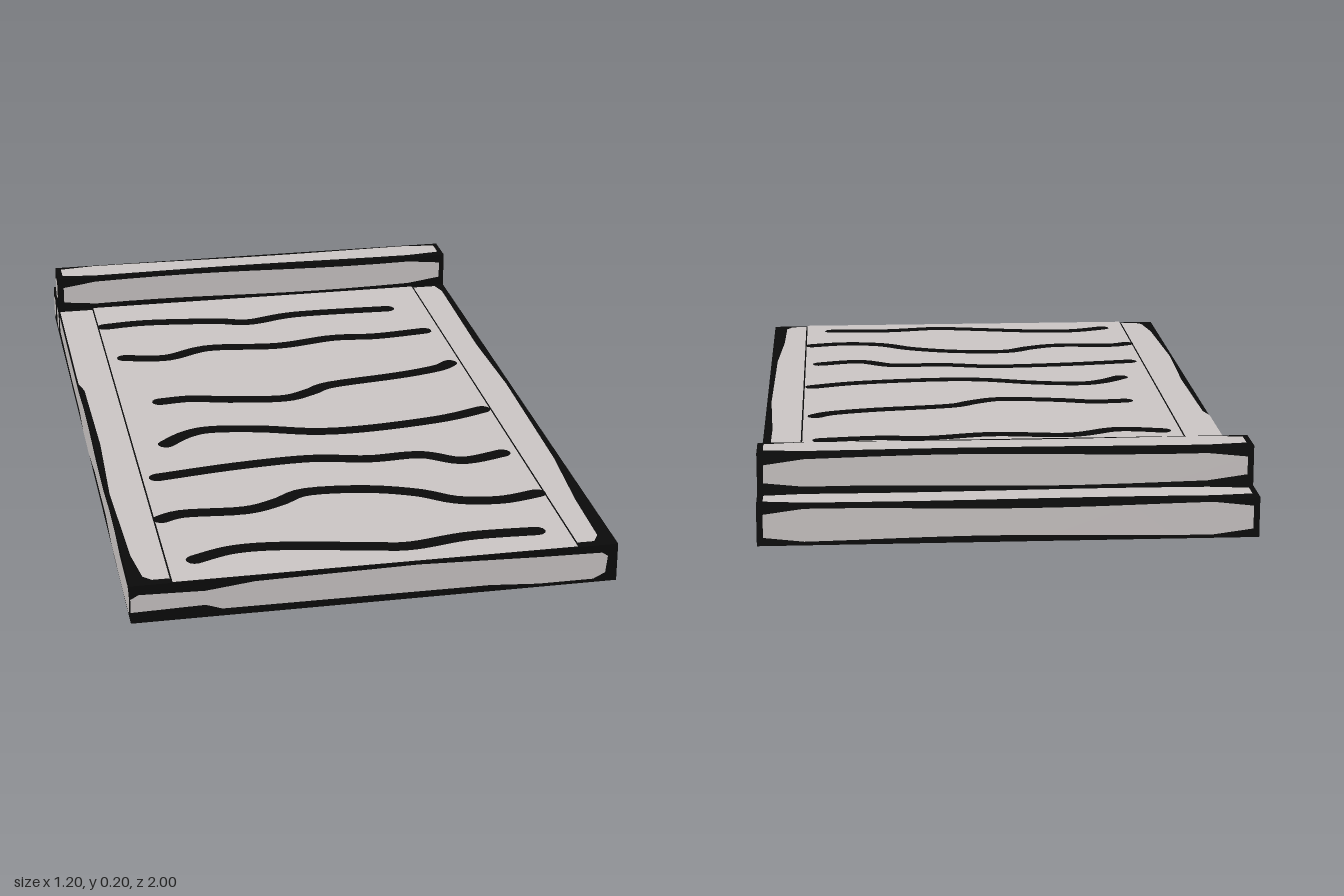
import * as THREE from 'three';

const ink = new THREE.MeshStandardMaterial({ color: 0x0b0b0b });
ink.name = 'ink black';
const paper = new THREE.MeshStandardMaterial({ color: 0xcbc6c5 });
paper.name = 'pale grey';

const LIFT = 0.002; // height of painted plates above the surface

// Each side: rotation axis, angle, sign of the first and second point coordinates
const SIDES = {
  front: ['Y', 0, 1, 1],             // points are x, y
  back: ['Y', Math.PI, -1, 1],       // x, y
  left: ['Y', Math.PI / 2, -1, 1],   // z, y
  right: ['Y', -Math.PI / 2, 1, 1],  // z, y
  top: ['X', -Math.PI / 2, 1, -1],   // x, z
  bottom: ['X', Math.PI / 2, 1, 1],  // x, z
};

// Flat painted plate on one side, at a distance from the origin
function plate(name, side, distance, points, material = paper) {
  const [axis, angle, su, sv] = SIDES[side];
  const shape = new THREE.Shape(points.map(([a, b]) => new THREE.Vector2(a * su, b * sv)));
  const geometry = new THREE.ShapeGeometry(shape);
  geometry.translate(0, 0, distance + LIFT);
  geometry['rotate' + axis](angle);
  const mesh = new THREE.Mesh(geometry, material);
  mesh.name = name;
  return mesh;
}

// Rectangle with clipped corners
function patch(a0, a1, b0, b1, c = 0.012) {
  return [[a0 + c, b0], [a1 - c, b0], [a1, b0 + c], [a1, b1 - c],
    [a1 - c, b1], [a0 + c, b1], [a0, b1 - c], [a0, b0 + c]];
}

// Long patch whose edges wander a little, like hand painting
function wornPatch(a0, a1, b0, b1, seed) {
  const edge = (from, to, b, dir) => Array.from({ length: 13 }, (_, i) => {
    const t = i / 12;
    const wobble = (Math.sin(t * 7 + seed) + 1) * 0.004;
    return [from + (to - from) * t, b + dir * (wobble + (i % 12 === 0 ? 0.012 : 0))];
  });
  return [...edge(a0, a1, b0, 1), ...edge(a1, a0, b1, -1)];
}

function box(name, w, h, d, x, y, z) {
  const mesh = new THREE.Mesh(new THREE.BoxGeometry(w, h, d), ink);
  mesh.position.set(x, y, z);
  mesh.name = name;
  return mesh;
}

// Outline of a round-ended brush stroke along a smooth path
function strokeOutline(points, r = 0.0225) {
  const path = new THREE.SplineCurve(points.map(p => new THREE.Vector2(...p)));
  const n = 40, sideA = [], sideB = [];
  for (let i = 0; i <= n; i++) {
    const p = path.getPoint(i / n), t = path.getTangent(i / n);
    sideA.push([p.x - t.y * r, p.y + t.x * r]);
    sideB.unshift([p.x + t.y * r, p.y - t.x * r]);
  }
  const cap = (u, dir) => {
    const p = path.getPoint(u), t = path.getTangent(u), out = [];
    const start = Math.atan2(t.x * dir, -t.y * dir);
    for (let i = 1; i < 6; i++) {
      const a = start - Math.PI * i / 6;
      out.push([p.x + Math.cos(a) * r, p.y + Math.sin(a) * r]);
    }
    return out;
  };
  return [...sideA, ...cap(1, 1), ...sideB, ...cap(0, -1)];
}

// Square beam across the head end, with painted faces
function beam(name, y, z, faces, seed) {
  const g = new THREE.Group();
  g.name = name;
  g.add(box(name + 'Core', 1.2, 0.1, 0.1, 0, y, z));
  const along = {
    front: [z + 0.05, y], back: [0.05 - z, y],
    top: [y + 0.05, z], bottom: [0.05 - y, z],
  };
  faces.forEach((side, i) => {
    const [distance, c] = along[side];
    g.add(plate(name + ' ' + side, side, distance,
      wornPatch(-0.585, 0.585, c - 0.041, c + 0.041, seed + i * 2)));
  });
  for (const side of ['left', 'right'])
    g.add(plate(name + ' end', side, 0.6, patch(z - 0.028, z + 0.028, y - 0.026, y + 0.034)));
  return g;
}

export function createModel() {
  const model = new THREE.Group();
  model.name = 'paddedBoard';

  // Main slab
  const slab = new THREE.Group();
  slab.name = 'slab';
  slab.add(box('slabCore', 1.2, 0.1, 1.8, 0, 0.05, 0.1));
  slab.add(plate('topPanel', 'top', 0.1,
    [[-0.498, -0.795], [0.498, -0.795], [0.498, 1], [-0.498, 1]]));
  slab.add(plate('rightRim', 'top', 0.1, [[-0.502, -0.78], [-0.6, -0.78], [-0.6, -0.22],
    [-0.588, -0.17], [-0.583, 0.2], [-0.592, 0.5], [-0.58, 0.85], [-0.565, 0.96],
    [-0.545, 0.98], [-0.502, 0.98]]));
  slab.add(plate('leftRim', 'top', 0.1, [[0.502, -0.785], [0.57, -0.785], [0.582, -0.74],
    [0.578, -0.3], [0.588, 0], [0.582, 0.5], [0.566, 0.75], [0.562, 0.95],
    [0.545, 0.98], [0.502, 0.98]]));
  slab.add(plate('underside', 'bottom', 0, [[-0.6, -0.785], [0.6, -0.785], [0.6, 1], [-0.6, 1]]));

  // Painted long edges and foot edge
  const edge = [[0.99, 0.03], [0.97, 0.013], [0.62, 0.013], [0.48, 0.032], [0.22, 0.03],
    [0.05, 0.01], [-0.1, 0.01], [-0.2, 0.03], [-0.5, 0.03], [-0.77, 0.038], [-0.785, 0.05],
    [-0.785, 0.08], [-0.76, 0.088], [-0.2, 0.085], [-0.06, 0.097], [0.08, 0.097],
    [0.25, 0.086], [0.45, 0.085], [0.58, 0.097], [0.7, 0.097], [0.82, 0.084], [0.97, 0.085],
    [0.99, 0.07]];
  for (const side of ['left', 'right']) slab.add(plate(side + 'Edge', side, 0.6, edge));
  slab.add(plate('footEdge', 'front', 1, [[-0.6, 0.03], [-0.42, 0.034], [-0.38, 0.02],
    [0.28, 0.018], [0.4, 0.01], [0.54, 0.01], [0.57, 0.025], [0.575, 0.07], [0.56, 0.08],
    [0.4, 0.083], [0.1, 0.092], [-0.3, 0.086], [-0.42, 0.072], [-0.58, 0.076], [-0.6, 0.065]]));
  model.add(slab);

  // Wavy strokes across the top panel
  const waves = [
    [[-0.48, -0.63], [-0.35, -0.64], [-0.15, -0.615], [-0.05, -0.59], [0.1, -0.625], [0.38, -0.62]],
    [[-0.45, -0.38], [-0.33, -0.36], [-0.2, -0.41], [0, -0.39], [0.17, -0.42], [0.3, -0.41], [0.45, -0.425]],
    [[-0.39, -0.05], [-0.3, -0.055], [-0.2, -0.03], [-0.05, -0.01], [0.03, -0.04], [0.1, -0.08],
      [0.3, -0.11], [0.42, -0.14], [0.465, -0.17]],
    [[-0.41, 0.23], [-0.35, 0.18], [-0.28, 0.16], [-0.15, 0.18], [0, 0.225], [0.15, 0.23],
      [0.35, 0.205], [0.475, 0.165]],
    [[-0.46, 0.43], [-0.25, 0.4], [-0.05, 0.39], [0.1, 0.42], [0.24, 0.42], [0.34, 0.475], [0.455, 0.45]],
    [[-0.48, 0.67], [-0.42, 0.65], [-0.27, 0.66], [-0.18, 0.63], [-0.1, 0.585], [0.05, 0.595],
      [0.18, 0.64], [0.27, 0.7], [0.38, 0.72], [0.48, 0.7]],
    [[-0.43, 0.9], [-0.33, 0.865], [-0.2, 0.87], [0, 0.91], [0.1, 0.925], [0.25, 0.9], [0.42, 0.905]],
  ];
  waves.forEach((points, i) =>
    model.add(plate('wave' + (i + 1), 'top', 0.102, strokeOutline(points), ink)));

  // Three stacked beams at the head end
  model.add(beam('upperBeam', 0.15, -0.85, ['front', 'back', 'top'], 0));
  model.add(beam('innerBeam', 0.05, -0.85, ['bottom'], 2));
  model.add(beam('outerBeam', 0.05, -0.95, ['back', 'top', 'bottom'], 4));

  return model;
}
